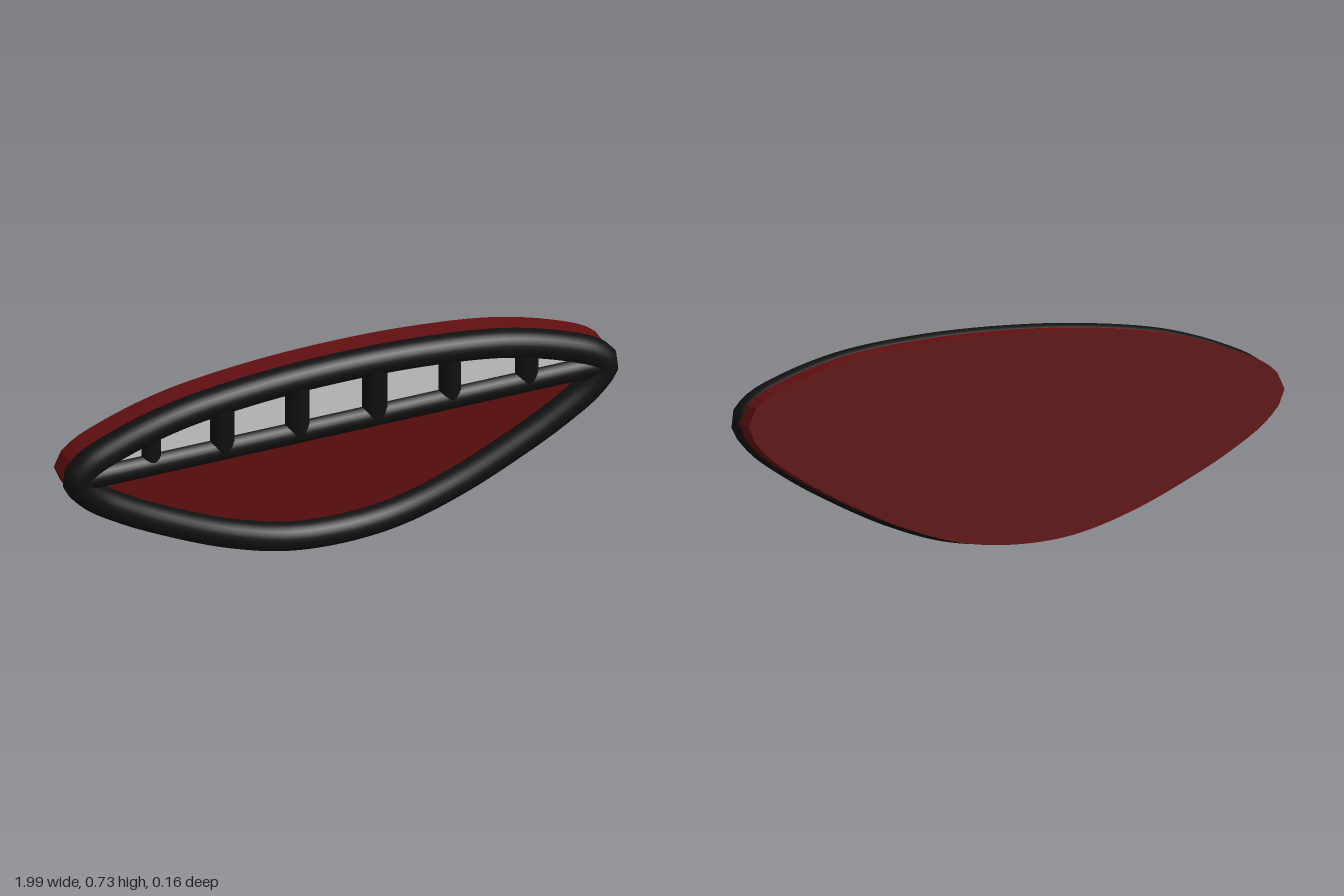
import * as THREE from 'three';

const black = new THREE.MeshStandardMaterial({ color: 0x101010 });
const red = new THREE.MeshStandardMaterial({ color: 0x610f10 });
const grey = new THREE.MeshStandardMaterial({ color: 0xcccccc });

const LIP_R = 0.05, LIP_Z = 0.028, BACK_Z = -0.078;

// Centre line of the lips: right half from top to bottom, then mirrored
const half = [[0, 0.683], [0.3, 0.672], [0.59, 0.635], [0.8, 0.573], [0.915, 0.518], [0.95, 0.472],
  [0.9, 0.4], [0.78, 0.315], [0.625, 0.23], [0.41, 0.132], [0.2, 0.068], [0, 0.05]];
const loop = [...half, ...half.slice(1, -1).reverse().map(([x, y]) => [-x, y])];
const lipCurve = new THREE.CatmullRomCurve3(
  loop.map(([x, y]) => new THREE.Vector3(x, y, LIP_Z)), true, 'centripetal');

// Height of the upper lip's centre line at x
const upper = new THREE.SplineCurve(half.slice(0, 6).map(p => new THREE.Vector2(...p))).getPoints(100);
function upperLip(x) {
  const a = Math.abs(x);
  const i = Math.max(1, upper.findIndex(p => p.x >= a));
  const p = upper[i - 1], q = upper[i];
  return THREE.MathUtils.mapLinear(a, p.x, q.x, p.y, q.y);
}

export function createModel() {
  const group = new THREE.Group();
  const add = (name, geometry, material) => {
    const mesh = new THREE.Mesh(geometry, material);
    mesh.name = name;
    group.add(mesh);
    return mesh;
  };
  const plate = (shape, z0, z1) =>
    new THREE.ExtrudeGeometry(shape, { depth: z1 - z0, bevelEnabled: false }).translate(0, 0, z0);

  // Lips
  add('lips', new THREE.TubeGeometry(lipCurve, 160, LIP_R, 24, true), black);

  // Mouth backing: the lip line pushed outwards
  const outline = [];
  for (let i = 0; i < 120; i++) {
    const p = lipCurve.getPointAt(i / 120), t = lipCurve.getTangentAt(i / 120);
    outline.push(new THREE.Vector2(p.x - t.y * 0.039, p.y + t.x * 0.039));
  }
  add('mouthBacking', plate(new THREE.Shape(outline), BACK_Z, 0.015), red);

  // Bar under the teeth
  add('teethBar', new THREE.CylinderGeometry(0.042, 0.042, 1.86, 24).rotateZ(Math.PI / 2), black)
    .position.set(0, 0.472, LIP_Z);

  // Upright gaps between the teeth
  const gaps = [[-0.685, 0.036], [-0.43, 0.045], [-0.16, 0.045], [0.12, 0.046], [0.39, 0.041], [0.667, 0.042]];
  for (const [x, r] of gaps) {
    const top = upperLip(x), bottom = 0.472;
    add('toothGap', new THREE.CylinderGeometry(r, r, top - bottom, 20), black)
      .position.set(x, (top + bottom) / 2, LIP_Z);
  }

  // Teeth, their tops following the upper lip
  const edges = [-0.9, ...gaps.map(g => g[0]), 0.9];
  for (let i = 0; i < edges.length - 1; i++) {
    const x0 = edges[i], x1 = edges[i + 1];
    const shape = new THREE.Shape().moveTo(x0, 0.47).lineTo(x1, 0.47);
    for (let k = 0; k <= 8; k++) {
      const x = THREE.MathUtils.lerp(x1, x0, k / 8);
      shape.lineTo(x, upperLip(x));
    }
    add('tooth', plate(shape, 0, 0.035), grey);
  }
  return group;
}
